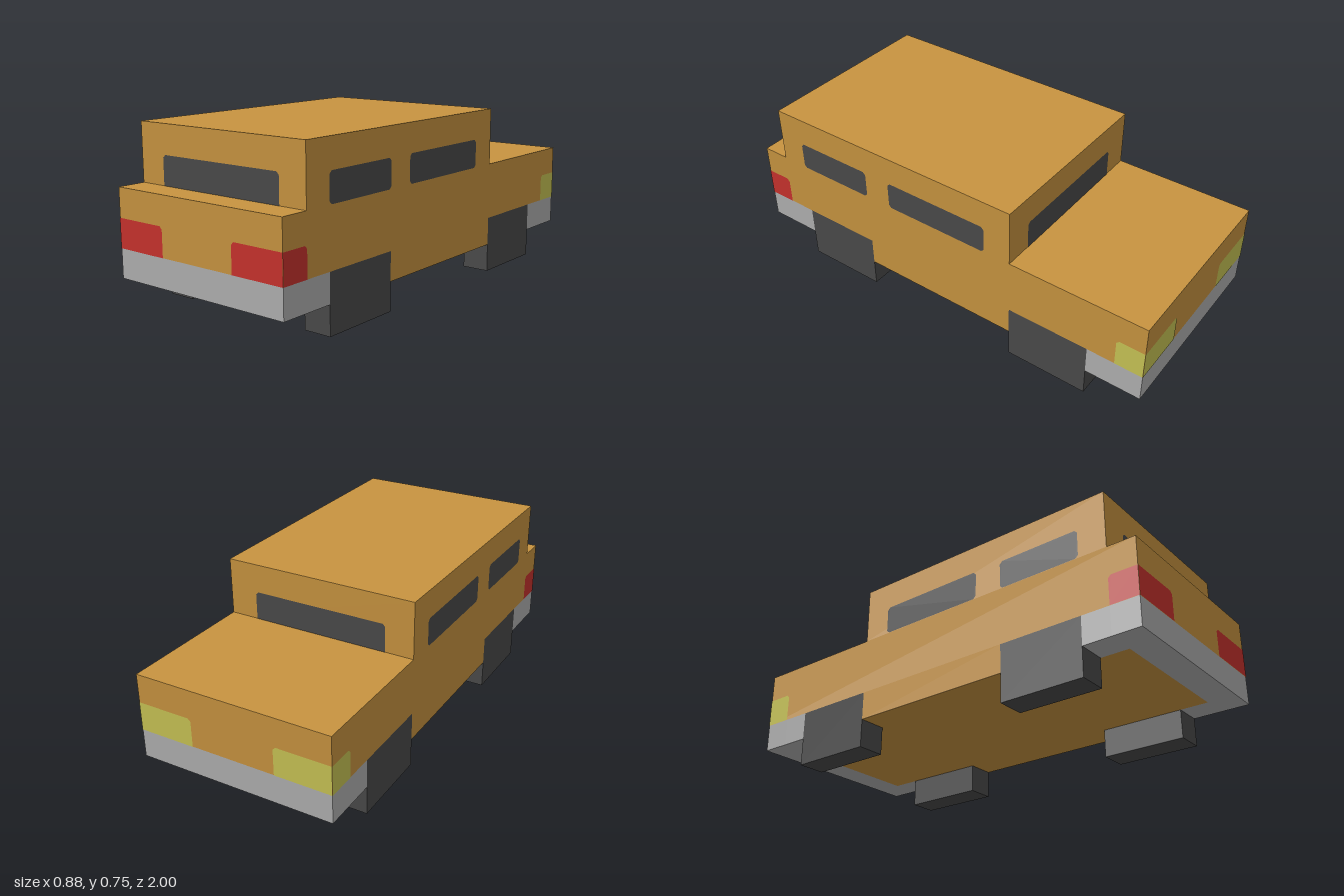
import * as THREE from 'three';

const paint = new THREE.MeshStandardMaterial({ name: 'ochrePaint', color: 0xc89440 });
const dark = new THREE.MeshStandardMaterial({ name: 'darkGlassAndRubber', color: 0x4a4a4a });
const grey = new THREE.MeshStandardMaterial({ name: 'greyBumper', color: 0xb0b0b0 });
const red = new THREE.MeshStandardMaterial({ name: 'redLamp', color: 0xc8322d });
const yellow = new THREE.MeshStandardMaterial({ name: 'yellowLamp', color: 0xc8c455 });

const W = 0.4375;   // half width
const IN = 0.3125;  // inner side of wheels and bumper corners
const LIFT = 0.0015; // gap of painted faces above the body

export function createModel() {
  const group = new THREE.Group();
  group.name = 'car';

  // Box given by its extents on each axis
  function box(name, mat, [x0, x1], [y0, y1], [z0, z1]) {
    const mesh = new THREE.Mesh(new THREE.BoxGeometry(x1 - x0, y1 - y0, z1 - z0), mat);
    mesh.position.set((x0 + x1) / 2, (y0 + y1) / 2, (z0 + z1) / 2);
    mesh.name = name;
    group.add(mesh);
  }

  // Flat panel with clipped corners; cuts are bottom left, bottom right, top right, top left
  function panel(name, mat, w, h, cuts, pos, turn) {
    const [a, b, c, d] = cuts.map((k) => k * 0.012);
    const x = w / 2, y = h / 2;
    const pts = [[-x, -y + a], [-x + a, -y], [x - b, -y], [x, -y + b],
      [x, y - c], [x - c, y], [-x + d, y], [-x, y - d]];
    const shape = new THREE.Shape(pts.map((p) => new THREE.Vector2(...p)));
    const mesh = new THREE.Mesh(new THREE.ShapeGeometry(shape), mat);
    mesh.position.set(...pos);
    mesh.rotation.y = turn;
    mesh.name = name;
    group.add(mesh);
  }

  // Body shell and cabin
  box('body', paint, [-W, W], [0.25, 0.5], [-1, 1]);
  box('cabin', paint, [-W, W], [0.5, 0.75], [-0.375, 0.875]);
  box('floor', paint, [-IN, IN], [0.125, 0.25], [-0.875, 0.875]);

  for (const s of [-1, 1]) {
    const side = s > 0 ? 'left' : 'right';
    const band = s > 0 ? [IN, W] : [-W, -IN];
    box(side + 'Sill', paint, band, [0.125, 0.25], [-0.375, 0.375]);

    // Side windows
    for (const [z0, z1, label] of [[0.375, 0.75, 'Front'], [-0.25, 0.25, 'Rear']]) {
      panel(side + label + 'Window', dark, z1 - z0, 0.125, [1, 1, 1, 1],
        [s * (W + LIFT), 0.5625, (z0 + z1) / 2], s * Math.PI / 2);
    }

    // Wheels, bumper corners and wrap-around lamps at both ends
    for (const e of [-1, 1]) {
      const end = e > 0 ? 'Front' : 'Rear';
      const span = (a, b) => (e > 0 ? [a, b] : [-b, -a]);
      box(side + end + 'Wheel', dark, band, [0, 0.25], span(0.375, 0.75));
      box(side + end + 'BumperCorner', grey, band, [0.125, 0.25], span(0.75, 0.875));

      const lamp = e > 0 ? red : yellow;
      const cut = s * e > 0 ? [0, 0, 0, 1] : [0, 0, 1, 0];
      panel(side + end + 'Lamp', lamp, 0.25, 0.125, cut,
        [s * 0.3125, 0.3125, e * (1 + LIFT)], e > 0 ? 0 : Math.PI);
      panel(side + end + 'LampSide', lamp, 0.125, 0.125, s * e > 0 ? [0, 0, 1, 0] : [0, 0, 0, 1],
        [s * (W + LIFT), 0.3125, e * 0.9375], s * Math.PI / 2);
    }
  }

  // Bumpers and windscreens
  box('frontBumper', grey, [-W, W], [0.125, 0.25], [0.875, 1]);
  box('rearBumper', grey, [-W, W], [0.125, 0.25], [-1, -0.875]);
  panel('frontWindscreen', dark, 0.62, 0.125, [0, 0, 1, 1], [0, 0.5625, 0.875 + LIFT], 0);
  panel('rearWindscreen', dark, 0.62, 0.125, [0, 0, 1, 1], [0, 0.5625, -0.375 - LIFT], Math.PI);

  return group;
}
